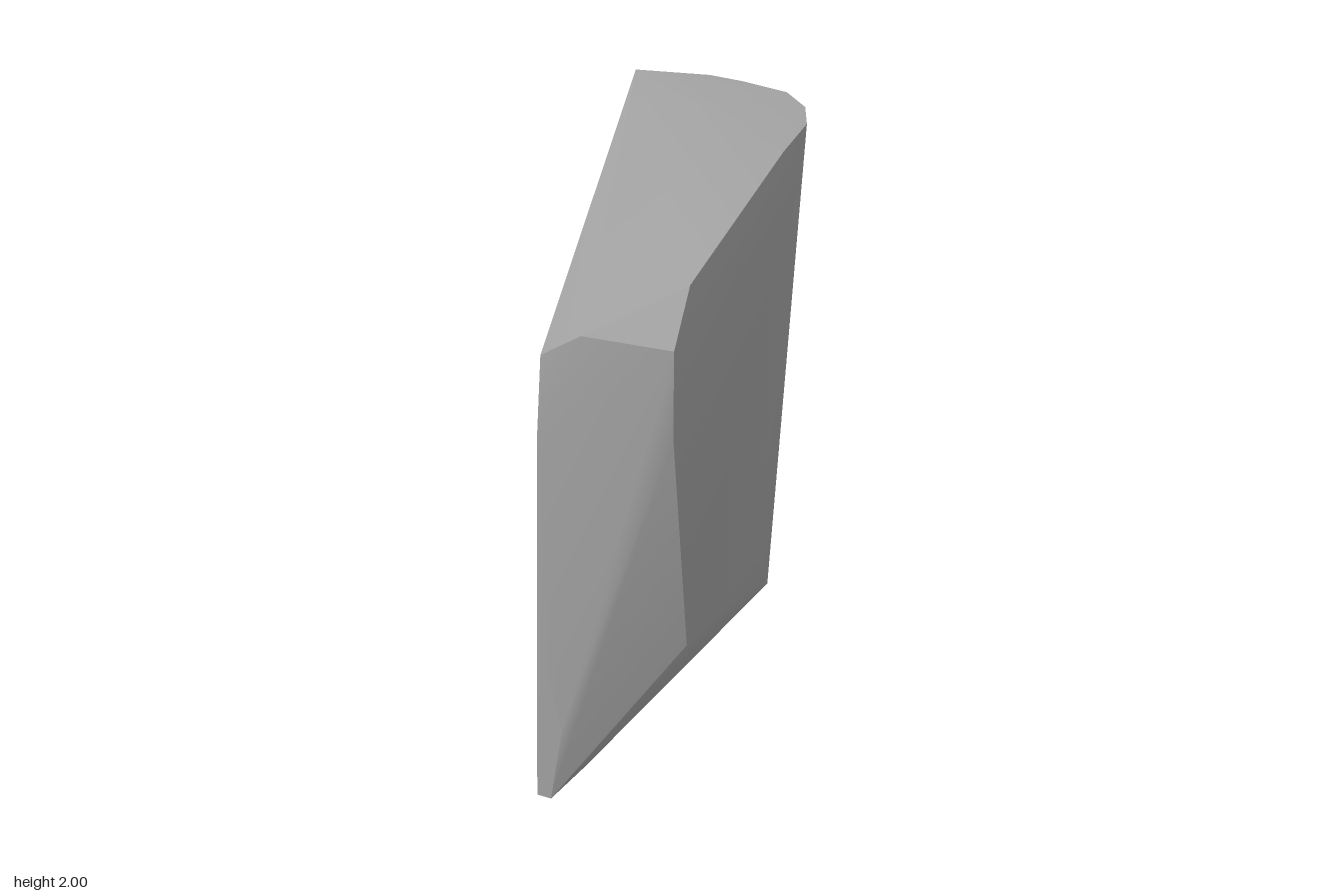
import * as THREE from 'three';
import { ConvexGeometry } from 'three/addons/geometries/ConvexGeometry.js';
import { toCreasedNormals } from 'three/addons/utils/BufferGeometryUtils.js';

export function createModel() {
  const group = new THREE.Group();
  group.name = 'rock';
  const stone = new THREE.MeshStandardMaterial({ color: 0xa0a0a0 });
  stone.name = 'grey stone';

  // Corners of the stone, grouped by region
  const crown = [
    [-0.25, 2, -0.46], [-0.25, 1.9, -0.475], [-0.05, 2, -0.523], [0.05, 2, -0.525],
    [0.19, 2, -0.51], [0.27, 1.995, -0.45], [0.31, 1.985, -0.37], [0.32, 1.975, -0.2],
    [0.335, 1.9, -0.28], [0.32, 1.84, 0.31],
  ];
  const frontRidge = [
    [0, 1.64, 0.47], [0.11, 1.72, 0.46], [0.335, 1.72, 0.415], [0.34, 1.48, 0.42],
    [-0.003, 1.42, 0.497], [-0.01, 0.7, 0.525], [0.05, 0.4, 0.525],
  ];
  const sides = [
    [0.34, 0.7, 0.31], [0.34, 0.7, -0.15], [0.34, 1.8, -0.2],
    [-0.345, 0.72, -0.29], [-0.345, 0.22, -0.29],
    [0.18, 0.39, -0.455], [0.26, 0.395, -0.425], [0.3, 0.4, -0.36],
  ];
  const foot = [
    [-0.05, 0.07, 0.525], [0, 0.08, 0.525], [-0.012, 0, 0.31], [0, 0.02, 0.16], [-0.185, 0.15, -0.26],
  ];
  const corners = [...crown, ...frontRidge, ...sides, ...foot].map((p) => new THREE.Vector3(...p));

  // Soft facets with the strong edges kept sharp
  const body = new THREE.Mesh(toCreasedNormals(new ConvexGeometry(corners), 0.55), stone);
  body.name = 'stoneBody';
  group.add(body);
  return group;
}
